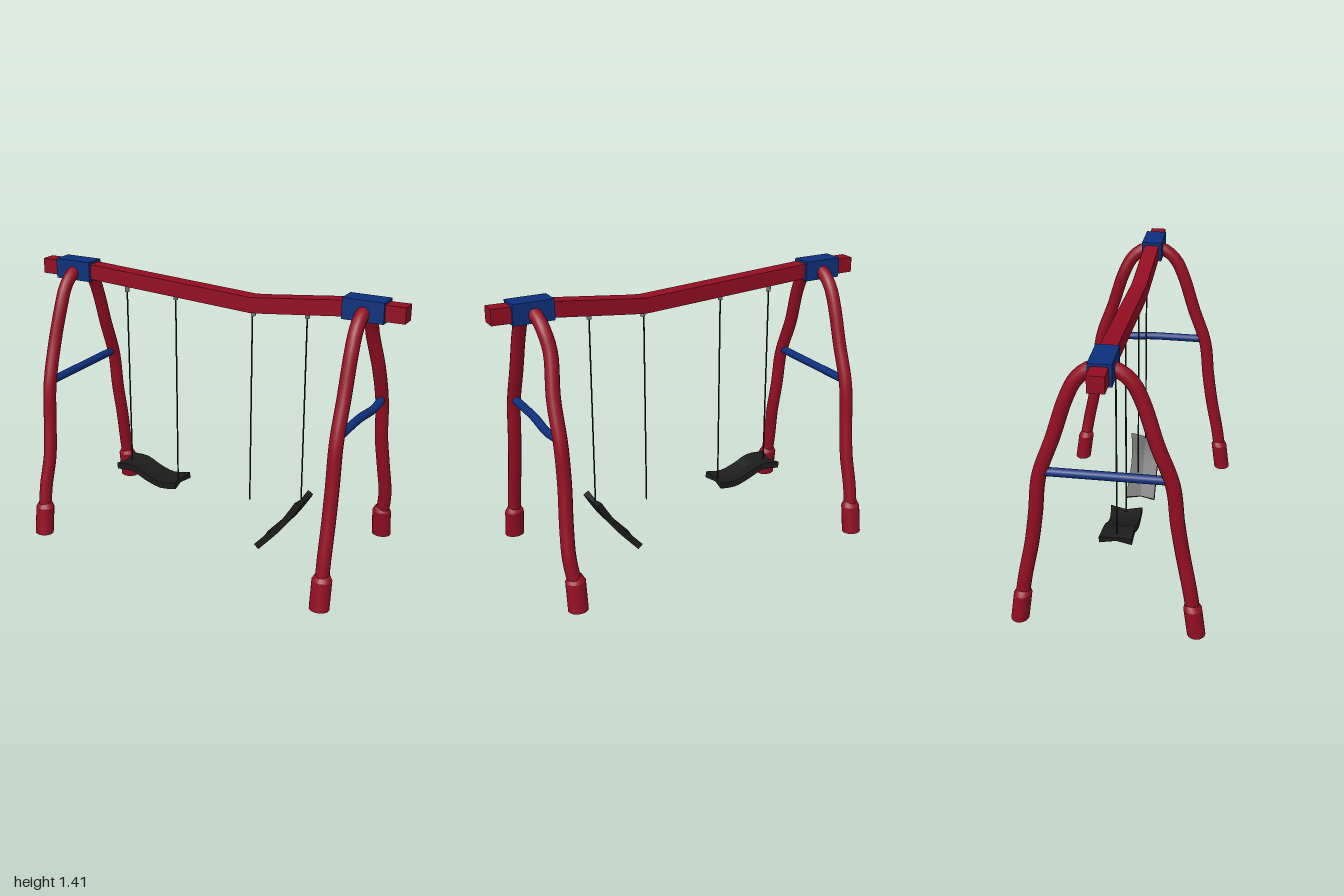
import * as THREE from 'three';

const mat = (color) => new THREE.MeshStandardMaterial({ color });
const red = mat(0x930e21), blue = mat(0x0d307c), grey = mat(0x777777);
const black = mat(0x1c1c1c);

const V = (x, y, z) => new THREE.Vector3(x, y, z);

function add(parent, name, geometry, material) {
  const mesh = new THREE.Mesh(geometry, material);
  mesh.name = name;
  parent.add(mesh);
  return mesh;
}

// Closed rings of equal length joined into a faceted solid with capped ends
function loft(rings) {
  const n = rings[0].length, last = rings.length - 1, pos = [];
  const tri = (...pts) => pts.forEach((p) => pos.push(p.x, p.y, p.z));
  for (let i = 0; i < last; i++) {
    for (let j = 0; j < n; j++) {
      const k = (j + 1) % n;
      const a = rings[i][j], b = rings[i][k], c = rings[i + 1][k], d = rings[i + 1][j];
      tri(a, d, b);
      tri(b, d, c);
    }
  }
  // caps fan out from the second ring point
  for (let j = 2; j < n; j++) {
    const k = (j + 1) % n;
    tri(rings[0][1], rings[0][j], rings[0][k]);
    tri(rings[last][1], rings[last][k], rings[last][j]);
  }
  const geometry = new THREE.BufferGeometry();
  geometry.setAttribute('position', new THREE.Float32BufferAttribute(pos, 3));
  geometry.computeVertexNormals();
  return geometry;
}

// Dented tube through a few points
function tube(points, radius, segments) {
  const curve = new THREE.CatmullRomCurve3(points);
  return new THREE.TubeGeometry(curve, segments, radius, 14);
}

// Half of the arch from foot to crown: [height, distance from the middle]
const ARCH = [
  [0.12, 0.41], [0.26, 0.387], [0.42, 0.354], [0.6, 0.326], [0.8, 0.302],
  [1.0, 0.232], [1.2, 0.167], [1.29, 0.122], [1.34, 0.065],
];

// One bent A-frame; wobbleFront / wobbleBack give the sideways dents per height
function buildFrame(name, x, wobbleFront, wobbleBack, barPoints) {
  const frame = new THREE.Group();
  frame.name = name;
  frame.position.x = x;

  const front = ARCH.map(([y, z]) => V(wobbleFront(y), y, z));
  const back = ARCH.map(([y, z]) => V(wobbleBack(y), y, -z)).reverse();
  add(frame, 'archedLegs', tube([...front, V(0, 1.357, 0), ...back], 0.034, 80), red);

  // sleeves at the ground, leaning with the legs
  for (const s of [1, -1]) {
    const sleeve = [[0, 0], [0.05, 0], [0.05, 0.145], [0.035, 0.172], [0, 0.172]];
    const foot = new THREE.LatheGeometry(
      sleeve.flatMap(([r, y], i) => {
        const p = new THREE.Vector2(r, y);
        return i === 1 || i === 2 ? [p, p.clone()] : [p];
      }), 18);
    foot.scale(1, 1, 0.88);
    const p = foot.attributes.position;
    for (let i = 0; i < p.count; i++) p.setZ(i, p.getZ(i) + s * (0.426 - 0.14 * p.getY(i)));
    foot.computeVertexNormals();
    add(frame, s > 0 ? 'frontFoot' : 'backFoot', foot, red);
  }

  add(frame, 'crossBar', tube(barPoints, 0.021, 24), blue);
  add(frame, 'beamClamp', new THREE.BoxGeometry(0.205, 0.102, 0.106), blue).position.y = 1.361;
  return frame;
}

// Warped seat slab following a path in the xy plane, with notched ends and pinched waist
function buildSeat(path) {
  const curve = new THREE.CatmullRomCurve3(path.map(([x, y]) => V(x, y, 0)));
  const steps = 12, rings = [];
  for (let i = 0; i <= steps; i++) {
    const t = i / steps, e = 2 * t - 1;
    const p = curve.getPoint(t), d = curve.getTangent(t), up = V(-d.y, d.x, 0);
    const notch = -0.014 * e ** 3;
    const zFront = 0.08, zBack = -0.069 - 0.014 * e * e;
    const corner = (z, h, along) =>
      p.clone().addScaledVector(d, along).addScaledVector(up, h).setZ(z);
    rings.push([
      corner(zFront, 0.018, 0), corner(0, 0.009, notch), corner(zBack, 0.018, 0),
      corner(zBack, -0.016, 0), corner(0, -0.009, notch), corner(zFront, -0.016, 0),
    ]);
  }
  return loft(rings);
}

// Hanging rod with its bracket under the beam
function buildHanger(parent, x, top, bottom, tilt) {
  const hanger = new THREE.Group();
  hanger.name = 'hanger';
  hanger.position.x = x;
  const bracket = add(hanger, 'bracket', new THREE.CylinderGeometry(0.012, 0.012, 0.055, 10), grey);
  bracket.position.y = top + 0.02;
  bracket.rotation.z = tilt;
  const rod = add(hanger, 'rod', new THREE.CylinderGeometry(0.004, 0.004, top - bottom, 8), black);
  rod.position.y = (top + bottom) / 2;
  parent.add(hanger);
}

export function createModel() {
  const swingSet = new THREE.Group();
  swingSet.name = 'swingSet';

  // sagging top beam
  const beam = [[-1, 1.361], [-0.71, 1.361], [0.15, 1.311], [0.22, 1.307], [0.29, 1.313], [0.7, 1.357], [1, 1.361]];
  const h = 0.039;
  add(swingSet, 'topBeam', loft(beam.map(([x, y]) => [
    V(x, y + h, h), V(x, y + h, -h), V(x, y - h, -h), V(x, y - h, h),
  ])), red);

  // side frames
  const bump = (y, at, width, size) => size * Math.exp(-(((y - at) / width) ** 2));
  swingSet.add(buildFrame('rightFrame', -0.805,
    (y) => bump(y, 1.0, 0.13, -0.01) + bump(y, 0.47, 0.12, 0.014),
    (y) => bump(y, 0.45, 0.12, 0.008),
    [V(0, 0.823, 0.3), V(0, 0.823, 0), V(0, 0.823, -0.3)]));
  swingSet.add(buildFrame('leftFrame', 0.8,
    () => 0,
    (y) => bump(y, 1.2, 0.14, -0.025) + bump(y, 0.32, 0.12, 0.024),
    [V(0, 0.823, 0.3), V(0, 0.824, 0.12), V(0.002, 0.823, 0),
      V(0.008, 0.813, -0.14), V(0.01, 0.82, -0.22), V(0, 0.823, -0.3)]));

  // hanging rods
  buildHanger(swingSet, -0.505, 1.28, 0.32, 0);
  buildHanger(swingSet, -0.215, 1.275, 0.26, 0);
  buildHanger(swingSet, 0.217, 1.25, 0.25, 0.3);
  buildHanger(swingSet, 0.507, 1.28, 0.31, 0);

  // seats: one warped, one hanging from a single rod
  add(swingSet, 'rightSeat', buildSeat(
    [[-0.55, 0.307], [-0.45, 0.311], [-0.37, 0.277], [-0.28, 0.252], [-0.187, 0.265]]), black);
  add(swingSet, 'leftSeat', buildSeat(
    [[0.298, 0.029], [0.4, 0.144], [0.46, 0.222], [0.525, 0.326]]), black);

  return swingSet;
}
